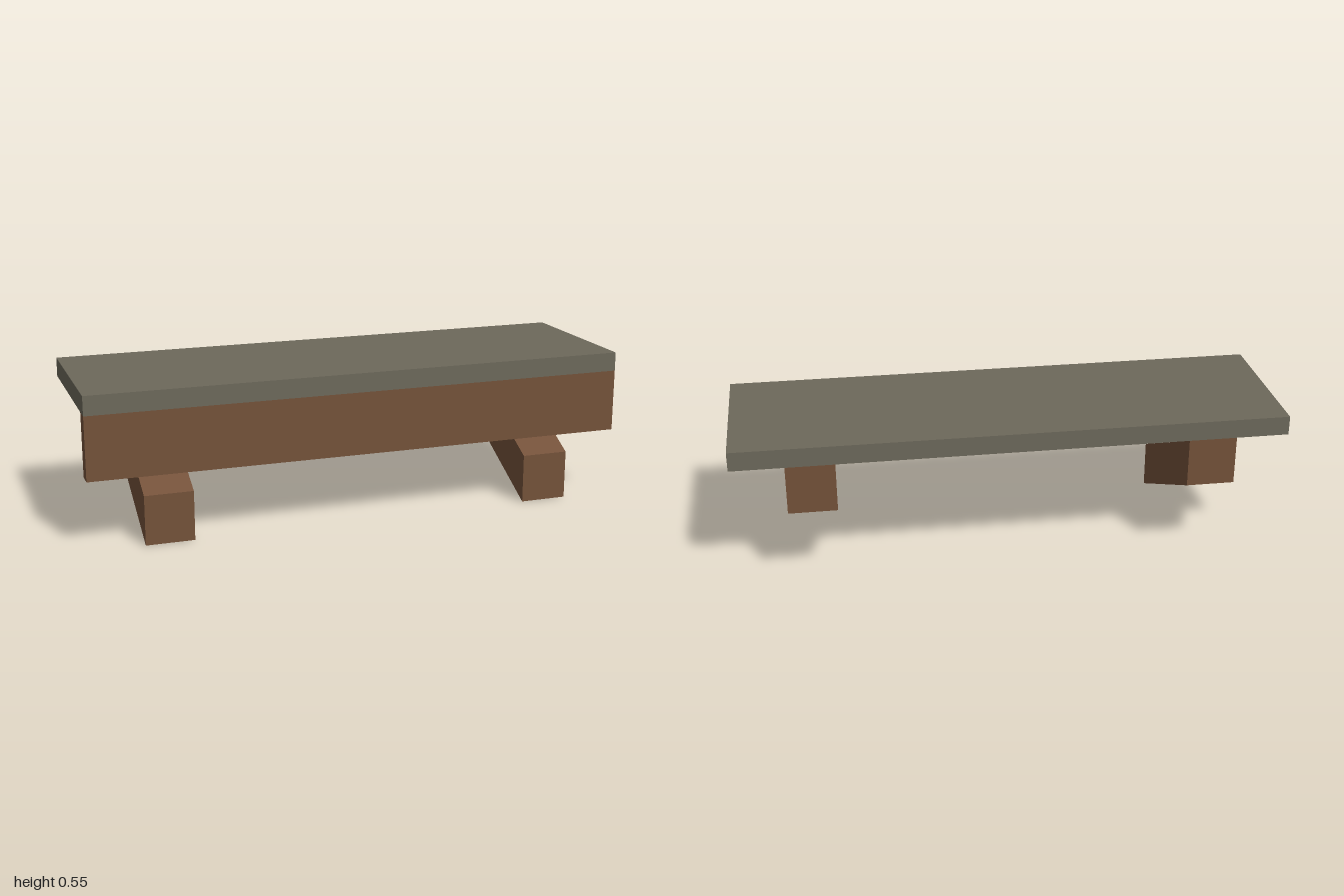
import * as THREE from 'three';

export function createModel() {
  const stone = new THREE.MeshStandardMaterial({ color: 0x6d695b });
  stone.name = 'grey stone';
  const wood = new THREE.MeshStandardMaterial({ color: 0x74523a });
  wood.name = 'brown wood';

  const model = new THREE.Group();
  model.name = 'shelf';

  function addPart(name, geometry, material, x, y, z) {
    const mesh = new THREE.Mesh(geometry, material);
    mesh.name = name;
    mesh.position.set(x, y, z);
    model.add(mesh);
  }

  // Flat slab and the front board hanging beneath it
  addPart('topSlab', new THREE.BoxGeometry(2, 0.07, 0.6), stone, 0, 0.515, 0);
  addPart('frontBoard', new THREE.BoxGeometry(2, 0.23, 0.06), wood, 0, 0.365, 0.27);

  // Slanted supports: boxes sheared so they rise towards the back
  const support = new THREE.BoxGeometry(0.175, 0.18, 0.6);
  const shear = new THREE.Matrix4().set(
    1, 0, 0, 0,
    0, 1, -0.5, 0,
    0, 0, 1, 0,
    0, 0, 0, 1
  );
  support.applyMatrix4(shear);
  support.computeVertexNormals();
  for (const side of [-1, 1]) {
    addPart(side > 0 ? 'leftSupport' : 'rightSupport', support, wood, side * 0.72, 0.24, 0);
  }

  return model;
}
